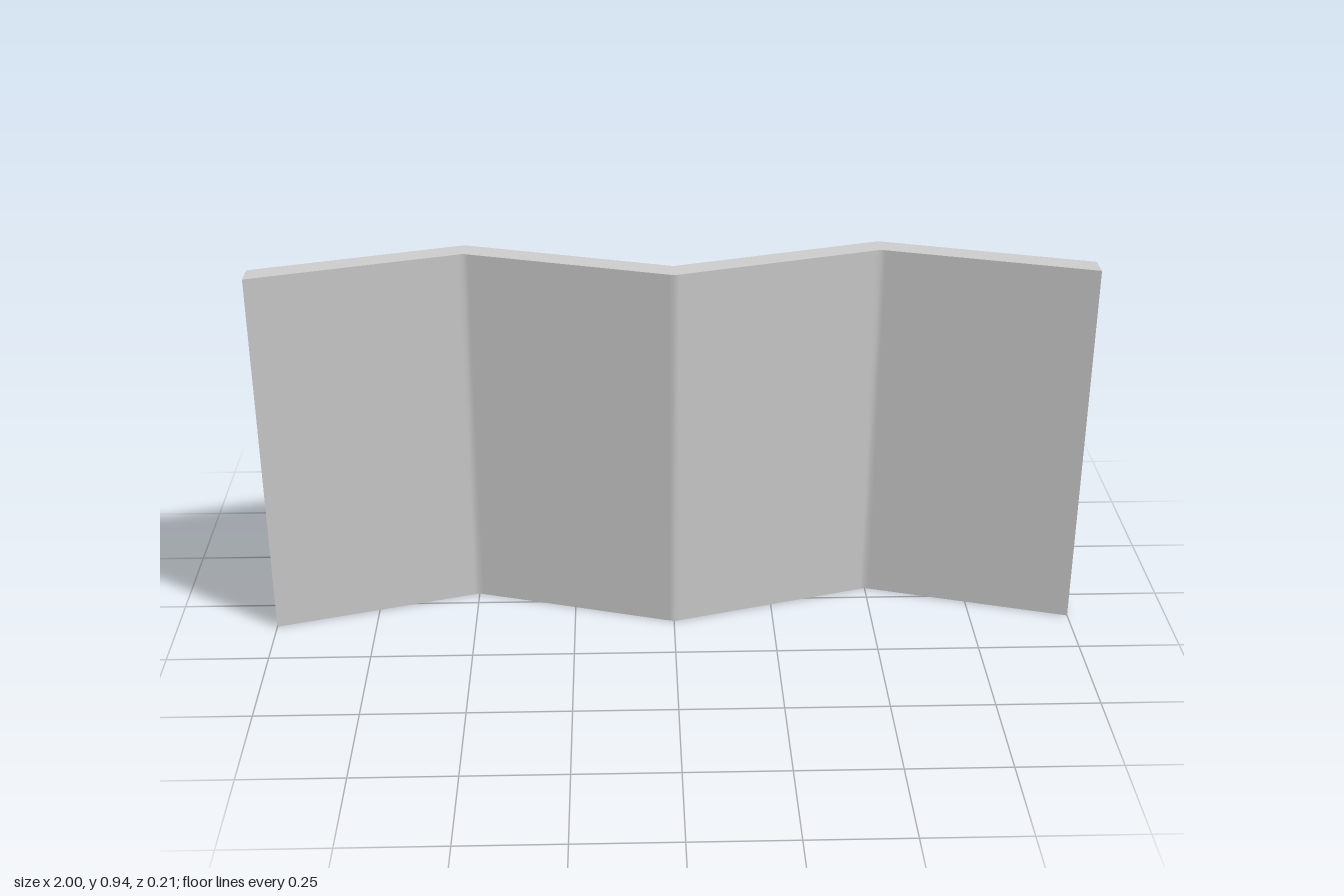
import * as THREE from 'three';

const HEIGHT = 0.94;
const THICKNESS = 0.058;

// Smooth ribbon between two matching rows of points; rows run to the right, a below b
function strip(a, b) {
  const geometry = new THREE.BufferGeometry();
  const index = [];
  for (let i = 0; i < a.length - 1; i++) {
    const n = a.length;
    index.push(i, i + 1, n + i + 1, i, n + i + 1, n + i);
  }
  geometry.setFromPoints([...a, ...b]);
  geometry.setIndex(index);
  geometry.computeVertexNormals();
  return geometry;
}

export function createModel() {
  const group = new THREE.Group();
  group.name = 'foldedPanel';
  const material = new THREE.MeshStandardMaterial({ color: 0xcccccc });

  const add = (name, a, b) => {
    const mesh = new THREE.Mesh(strip(a, b), material);
    mesh.name = name;
    group.add(mesh);
  };

  // Zigzag height of the front surface: ridges at x = -1, 0, 1 and valleys at +-0.5
  const zigzag = (x) => 0.104 - 0.3 * (0.5 - Math.abs(Math.abs(x) - 0.5));
  const row = (xs, y, dz) => xs.map((x) => new THREE.Vector3(x, y, zigzag(x) + dz));

  const folds = [-1, -0.5, 0, 0.5, 1];
  // Extra points beside each fold keep the front creases tight
  const tight = [-1];
  for (const x of [-0.5, 0, 0.5]) tight.push(x - 0.012, x, x + 0.012);
  tight.push(1);

  const frontTop = row(folds, HEIGHT, 0);
  const frontBottom = row(folds, 0, 0);
  const backTop = row(folds, HEIGHT, -THICKNESS);
  const backBottom = row(folds, 0, -THICKNESS);

  // Creased front and softly shaded back
  add('frontFace', row(tight, 0, 0), row(tight, HEIGHT, 0));
  add('backFace', [...backBottom].reverse(), [...backTop].reverse());

  // Edges closing the panel
  add('topEdge', frontTop, backTop);
  add('bottomEdge', backBottom, frontBottom);
  add('leftEdge', [frontBottom[4], backBottom[4]], [frontTop[4], backTop[4]]);
  add('rightEdge', [backBottom[0], frontBottom[0]], [backTop[0], frontTop[0]]);

  return group;
}
